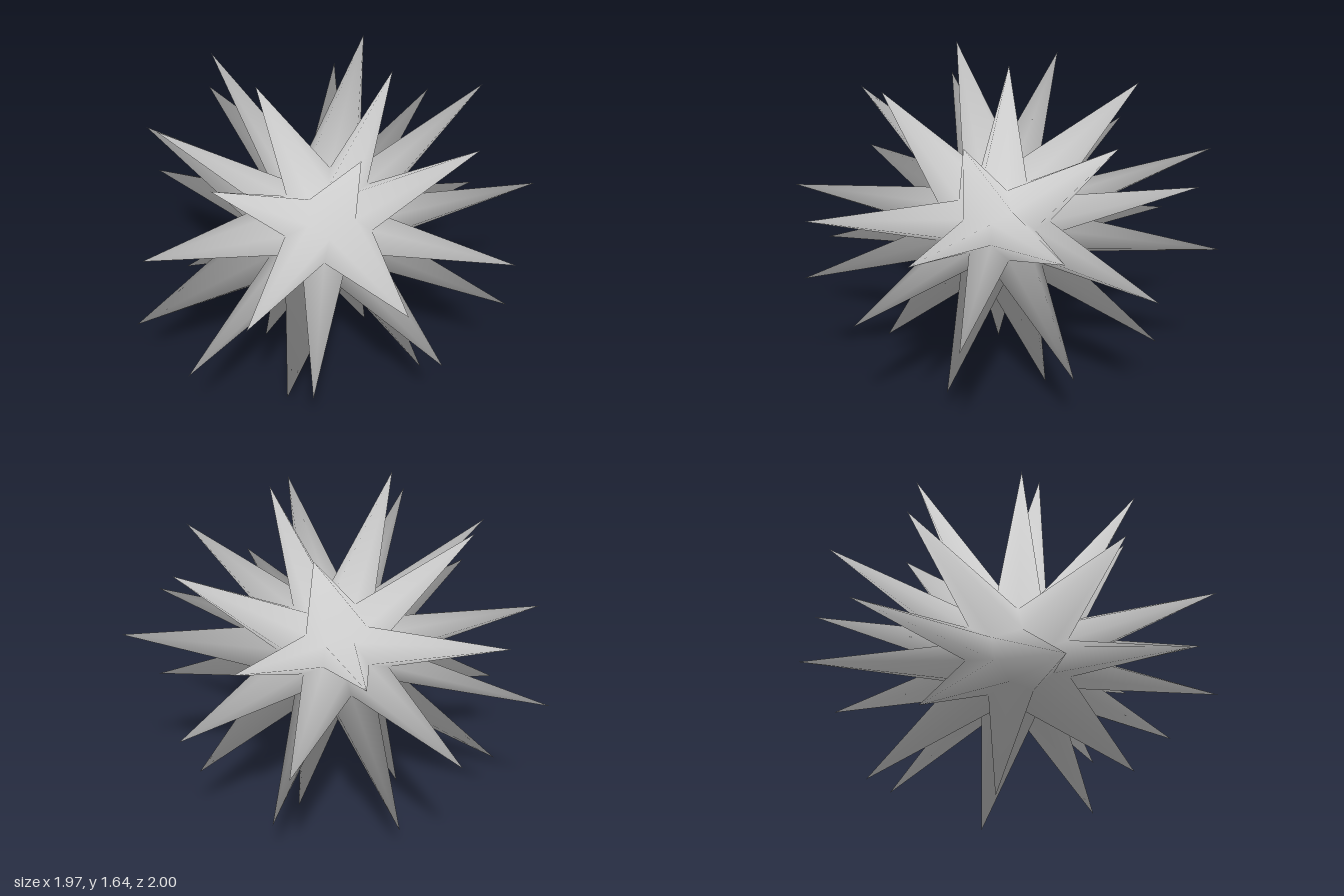
import * as THREE from 'three';
import { ConvexGeometry } from 'three/addons/geometries/ConvexGeometry.js';

const CENTRE = new THREE.Vector3(0, 0.83, 0);            // middle of the spike tips
const CORE_CENTRE = new THREE.Vector3(0, 0.8, 0.025);    // middle of the valleys
const SQUASH = 0.87;       // body is slightly flattened vertically
const PIT_RADIUS = 0.335;  // depth of the valleys between spikes

// Spike tips, from the crown down
const TIPS = [
  [-0.335, 1.64, -0.02], [0.245, 1.645, 0.215],
  [0.525, 1.515, -0.37], [-0.21, 1.515, -0.635], [-0.2, 1.515, 0.58],
  [0.405, 1.39, 0.655], [-0.745, 1.4, 0.265], [-0.69, 1.385, -0.32], [0.845, 1.38, 0.185],
  [0.665, 1.13, -0.815], [0.93, 1.11, -0.31], [-0.52, 1.12, -0.8], [-0.045, 1.125, -0.99],
  [-0.255, 0.99, 1], [0.39, 0.95, 0.965], [-0.985, 0.99, 0.03], [-0.825, 0.945, 0.645], [0.89, 0.985, 0.565],
  [0.255, 0.665, -1], [-0.39, 0.71, -0.995], [0.985, 0.665, 0.03], [0.89, 0.71, -0.595],
  [-0.595, 0.545, 0.795], [-0.97, 0.54, 0.355], [0.53, 0.55, 0.815], [0, 0.545, 0.96],
  [-0.93, 0.39, -0.255], [-0.43, 0.265, -0.67], [0.745, 0.265, -0.31], [0.71, 0.27, 0.27],
  [-0.465, 0.135, 0.38], [0.205, 0.14, 0.59], [0.235, 0.14, -0.635],
  [0.3, 0, 0], [-0.225, 0, -0.2],
].map((p) => new THREE.Vector3(...p));

// Directions of the tips on a unit sphere
function tipDirections() {
  return TIPS.map((t) => {
    const d = t.clone().sub(CENTRE);
    d.y /= SQUASH;
    return d.normalize();
  });
}

// Each hull triangle of the tip directions holds one valley point;
// every spike is a pyramid over the ring of valleys round its tip.
function spikeBallGeometry() {
  const dirs = tipDirections();
  const hull = new ConvexGeometry(dirs).getAttribute('position');
  const nearest = (v) => {
    let best = 0;
    dirs.forEach((d, i) => { if (d.distanceTo(v) < dirs[best].distanceTo(v)) best = i; });
    return best;
  };

  const points = TIPS.map((t) => t.clone());
  const edgePit = new Map(); // directed edge -> valley on its left
  const v = new THREE.Vector3();
  for (let f = 0; f < hull.count; f += 3) {
    const tri = [0, 1, 2].map((k) => nearest(v.fromBufferAttribute(hull, f + k)));
    const pit = new THREE.Vector3();
    tri.forEach((i) => pit.add(dirs[i]));
    pit.setLength(PIT_RADIUS);
    pit.y *= SQUASH;
    const id = points.push(pit.add(CORE_CENTRE)) - 1;
    tri.forEach((a, k) => edgePit.set(a + '_' + tri[(k + 1) % 3], id));
  }

  const index = [];
  for (const [key, left] of edgePit) {
    const [a, b] = key.split('_');
    const right = edgePit.get(b + '_' + a);
    if (right !== undefined) index.push(Number(a), right, left);
  }

  const geometry = new THREE.BufferGeometry().setFromPoints(points);
  geometry.setIndex(index);
  geometry.computeVertexNormals();
  return geometry;
}

export function createModel() {
  const group = new THREE.Group();
  group.name = 'spikyBall';
  const spikes = new THREE.Mesh(
    spikeBallGeometry(),
    new THREE.MeshStandardMaterial({ color: 0xcccccc }),
  );
  spikes.name = 'spikes';
  group.add(spikes);
  return group;
}
